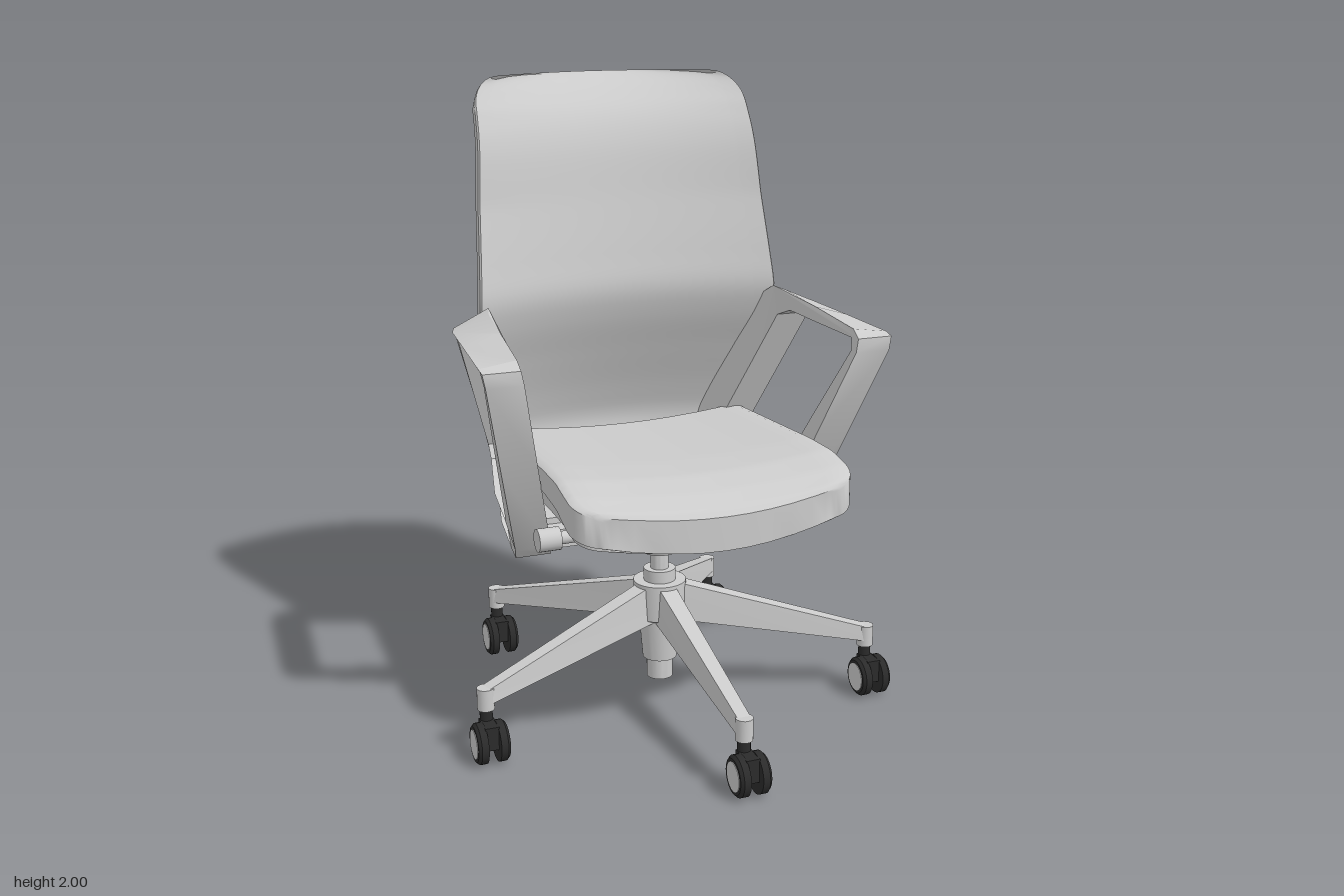
import * as THREE from 'three';
import { toCreasedNormals } from 'three/addons/utils/BufferGeometryUtils.js';

const grey = new THREE.MeshStandardMaterial({ color: 0xcccccc, side: THREE.DoubleSide });
const dark = new THREE.MeshStandardMaterial({ color: 0x2b2b2b });
const BASE_Z = -0.09;

function add(parent, name, geometry, x = 0, y = 0, z = 0, material = grey) {
  const mesh = new THREE.Mesh(geometry, material);
  mesh.name = name;
  mesh.position.set(x, y, z);
  parent.add(mesh);
  return mesh;
}

// Piecewise linear lookup in [[key, value], ...] with descending keys
function lerpTable(table, k) {
  for (let i = 1; i < table.length; i++) {
    const [k0, v0] = table[i - 1], [k1, v1] = table[i];
    if (k >= k1) return v0 + (v1 - v0) * Math.min(1, Math.max(0, (k0 - k) / (k0 - k1)));
  }
  return table[table.length - 1][1];
}

// Skin closed loops (arrays of [x, y, z]) and close both ends
function loft(rows, crease = 0.6) {
  const n = rows[0].length, last = (rows.length - 1) * n, index = [];
  const quad = (a, b, c, d) => index.push(a, b, c, a, c, d);
  for (let r = 0; r < last; r += n)
    for (let i = 0; i < n; i++) {
      const j = (i + 1) % n;
      quad(r + i, r + j, r + n + j, r + n + i);
    }
  for (let i = 0; i < n / 2 - 1; i++) {
    quad(i, n - 1 - i, n - 2 - i, i + 1);
    quad(last + i, last + i + 1, last + n - 2 - i, last + n - 1 - i);
  }
  // Turn the faces outward if the signed volume is negative
  const p = rows.flat().map(q => new THREE.Vector3(...q));
  let volume = 0;
  for (let i = 0; i < index.length; i += 3)
    volume += p[index[i]].dot(new THREE.Vector3().crossVectors(p[index[i + 1]], p[index[i + 2]]));
  if (volume < 0) index.reverse();
  const g = new THREE.BufferGeometry();
  g.setAttribute('position', new THREE.Float32BufferAttribute(rows.flat(2), 3));
  g.setIndex(index);
  return toCreasedNormals(g, crease);
}

// Backrest: bowed shell with a raised rim behind, curling under like a bowl at the bottom
function backGeometry() {
  const path = new THREE.CatmullRomCurve3([
    [2.0, -0.668], [1.94, -0.6], [1.87, -0.54], [1.78, -0.5], [1.6, -0.465], [1.42, -0.432],
    [1.31, -0.418], [1.22, -0.44], [1.08, -0.5], [0.92, -0.568], [0.82, -0.597], [0.73, -0.575],
    [0.66, -0.515], [0.615, -0.44], [0.585, -0.37]].map(([y, z]) => new THREE.Vector3(0, y, z)));
  const widths = [[2, 0.46], [1.9, 0.465], [1.3, 0.51], [1.1, 0.5], [0.9, 0.47], [0.75, 0.44], [0.56, 0.39]];
  const us = [-1, -0.99, -0.95, -0.88, -0.86, -0.7, -0.5, -0.3, -0.1];
  us.push(...us.map(u => -u).reverse());
  const rows = [], count = 72, radius = 0.09;
  for (let k = 0; k <= count; k++) {
    const t = Math.pow(k / count, 1.3), p = path.getPointAt(t), d = path.getTangentAt(t);
    const c = Math.max(0, (p.y - (2 - radius)) / radius);
    const w = lerpTable(widths, p.y) - radius * (1 - Math.sqrt(Math.max(0, 1 - c * c)));
    const bow = lerpTable([[2, 0.11], [1.87, 0.08], [1.6, 0.075], [1.3, 0.095], [0.8, 0.11], [0.58, 0.04]], p.y);
    const lift = lerpTable([[0.85, 0], [0.6, 0.08]], p.y);
    const panel = p.y < 1.88 && p.y > 0.91;
    const point = (u, thick) => [u * w, p.y - d.z * thick + lift * u ** 4, p.z + bow * u * u + d.y * thick];
    const front = us.map(u => point(u, Math.abs(u) === 1 ? 0.008 : 0));
    const back = us.map(u => point(u, panel && Math.abs(u) < 0.87 ? 0.018 : 0.038)).reverse();
    rows.push([...front, ...back]);
  }
  return loft(rows);
}

// Seat slab: dished across, rolling down at the front, rounded front corners
function seatGeometry(top, bottom, width, zFront, zBack, bottomDish) {
  const us = [-1, -0.985, -0.94, -0.8, -0.6, -0.4, -0.2, 0, 0.2, 0.4, 0.6, 0.8, 0.94, 0.985, 1];
  const rows = [], count = 40, radius = 0.1;
  for (let k = 0; k <= count; k++) {
    const z = zFront - (zFront - zBack) * Math.pow(k / count, 1.7);
    const c = Math.max(0, (z - zFront + radius) / radius);
    const w = width - 0.018 * Math.max(0, 0.3 - z) / 0.7 - radius * (1 - Math.sqrt(1 - Math.min(1, c * c)));
    const bend = 0.03 * Math.max(0, z / zFront);
    const point = (u, y) => [u * w, y, z - bend * u * u];
    const yTop = lerpTable(top, z), yBot = lerpTable(bottom, z);
    const upper = us.map(u => point(u, yTop + 0.03 * u * u - 0.012 * Math.max(0, (Math.abs(u) - 0.94) / 0.06) ** 2));
    const lower = us.map(u => point(u, yBot + bottomDish * u * u)).reverse();
    rows.push([...upper, ...lower]);
  }
  return loft(rows);
}

// Arm loop: side outline with an opening, leaned outward, drawn in at the rear, top sloping to the outside
function armGeometry(side) {
  const outline = [[0.217, 1.233], [0.18, 1.257], [-0.05, 1.283], [-0.24, 1.303], [-0.3, 1.308], [-0.355, 1.27],
    [-0.45, 1.07], [-0.55, 0.87], [-0.545, 0.79], [-0.5, 0.73], [-0.24, 0.62], [-0.12, 0.57], [-0.06, 0.56],
    [-0.02, 0.6], [0.1, 0.9], [0.22, 1.19]];
  const opening = [[0.18, 1.23], [-0.05, 1.238], [-0.19, 1.244], [-0.255, 1.218], [-0.34, 1.02], [-0.424, 0.825],
    [-0.4, 0.782], [-0.24, 0.718], [-0.117, 0.671], [-0.085, 0.69], [0.05, 0.94], [0.19, 1.19]];
  const vectors = list => list.map(([z, y]) => new THREE.Vector2(z, y));
  const shape = new THREE.Shape(vectors(outline));
  shape.holes.push(new THREE.Path(vectors(opening)));
  const g = new THREE.ExtrudeGeometry(shape, { depth: 0.115, bevelEnabled: false });
  const pos = g.attributes.position;
  for (let i = 0; i < pos.count; i++) {
    const z = pos.getX(i), y = pos.getY(i), depth = pos.getZ(i);
    const outer = 0.535 + (y - 0.645) * 0.2 - (0.2 - z) * 0.1 - Math.max(0, -0.24 - z) * 0.2;
    const drop = y > 1.25 ? (0.015 + (0.2 - z) * 0.08) * (1 - depth / 0.115) : 0;
    pos.setXYZ(i, side * (outer - depth), y - drop, z);
  }
  // The left arm keeps the winding, the mirrored one needs it turned
  if (side < 0)
    for (let i = 0; i < pos.count; i += 3) {
      const a = new THREE.Vector3().fromBufferAttribute(pos, i + 1);
      const b = new THREE.Vector3().fromBufferAttribute(pos, i + 2);
      pos.setXYZ(i + 1, b.x, b.y, b.z);
      pos.setXYZ(i + 2, a.x, a.y, a.z);
    }
  g.deleteAttribute('normal');
  g.deleteAttribute('uv');
  return toCreasedNormals(g, 0.5);
}

// Twin-wheel caster, all turned the same way
function caster() {
  const g = new THREE.Group();
  g.name = 'caster';
  add(g, 'casterStem', new THREE.CylinderGeometry(0.02, 0.02, 0.1, 16), 0, 0.135, 0, dark);
  add(g, 'casterBody', new THREE.BoxGeometry(0.044, 0.075, 0.08), 0, 0.087, 0.03, dark);
  for (const s of [-1, 1]) {
    const profile = [[0, -0.016], [0.064, -0.016], [0.064, 0.006], [0.055, 0.015], [0, 0.015]];
    const wheel = add(g, 'wheel', toCreasedNormals(new THREE.LatheGeometry(
      profile.map(([r, y]) => new THREE.Vector2(r, y)), 28), 0.5), s * 0.035, 0.064, 0.037, dark);
    wheel.rotation.z = -s * Math.PI / 2;
    const hub = add(g, 'wheelHub', new THREE.CylinderGeometry(0.046, 0.046, 0.004, 24), s * 0.05, 0.064, 0.037);
    hub.rotation.z = Math.PI / 2;
  }
  return g;
}

export function createModel() {
  const chair = new THREE.Group();
  chair.name = 'officeChair';

  // Five-legged base with casters
  const section = (z, w, y0, y1) => [[-w, y0, z], [w, y0, z], [w * 0.8, y1, z], [-w * 0.8, y1, z]];
  const legGeometry = loft([section(0.04, 0.036, 0.28, 0.41), section(0.68, 0.026, 0.18, 0.228)], 0.3);
  for (let i = 0; i < 5; i++) {
    const a = i * Math.PI * 0.4, x = 0.684 * Math.sin(a), z = BASE_Z + 0.684 * Math.cos(a);
    add(chair, 'baseLeg', legGeometry, 0, 0, BASE_Z).rotation.y = a;
    add(chair, 'legTip', new THREE.CylinderGeometry(0.027, 0.027, 0.07, 20), x, 0.193, z);
    const c = caster();
    c.position.set(x, 0, z);
    chair.add(c);
  }

  // Hub, gas column and the cone under the mechanism
  const column = [[0, 0.07], [0.043, 0.07], [0.043, 0.14], [0.056, 0.14], [0.068, 0.28], [0.086, 0.29], [0.086, 0.41],
    [0.052, 0.41], [0.052, 0.45], [0.03, 0.45], [0.03, 0.51], [0.06, 0.51], [0.085, 0.57], [0.085, 0.6], [0, 0.6]];
  add(chair, 'hubAndColumn', toCreasedNormals(new THREE.LatheGeometry(
    column.map(([r, y]) => new THREE.Vector2(r, y)), 32), 0.5), 0, 0, BASE_Z);

  // Tilt mechanism, seat supports and beam between the arms
  add(chair, 'mechanism', new THREE.BoxGeometry(0.32, 0.13, 0.3), 0, 0.635, -0.1);
  add(chair, 'crossBeam', new THREE.BoxGeometry(0.84, 0.06, 0.2), 0, 0.605, -0.16);
  const support = (z, y0, y1, x) => [[x - 0.03, y0, z], [x + 0.03, y0, z], [x + 0.03, y1, z], [x - 0.03, y1, z]];
  for (const s of [-1, 1]) {
    add(chair, 'seatSupport', loft([support(0.31, 0.7, 0.74, s * 0.19), support(-0.02, 0.575, 0.68, s * 0.19),
      support(-0.3, 0.575, 0.72, s * 0.19)], 0.2));
    add(chair, 'backBracket', new THREE.BoxGeometry(0.14, 0.06, 0.26), s * 0.33, 0.625, -0.25);
  }

  // Adjusting lever on the right
  for (const [name, r, length, x] of [['lever', 0.02, 0.24, -0.32], ['leverKnob', 0.036, 0.07, -0.435]])
    add(chair, name, new THREE.CylinderGeometry(r, r, length, 20), x, 0.67, 0.1).rotation.z = Math.PI / 2;

  // Seat cushion and the pan below
  const under = [[0.46, 0.7], [0.4, 0.72], [0.25, 0.765], [0.1, 0.775], [-0.43, 0.765]];
  add(chair, 'seatCushion', seatGeometry([[0.46, 0.805], [0.44, 0.825], [0.36, 0.852], [0.25, 0.872], [0.1, 0.872],
    [-0.43, 0.845]], under, 0.45, 0.46, -0.43, 0.045));
  add(chair, 'seatPan', seatGeometry(under.map(([z, y]) => [z, y + 0.01]),
    [[0.43, 0.695], [0.25, 0.725], [0.1, 0.725], [-0.42, 0.71]], 0.425, 0.435, -0.42, 0.03));

  // Backrest and arms
  add(chair, 'backrest', backGeometry());
  add(chair, 'leftArm', armGeometry(1));
  add(chair, 'rightArm', armGeometry(-1));
  return chair;
}
